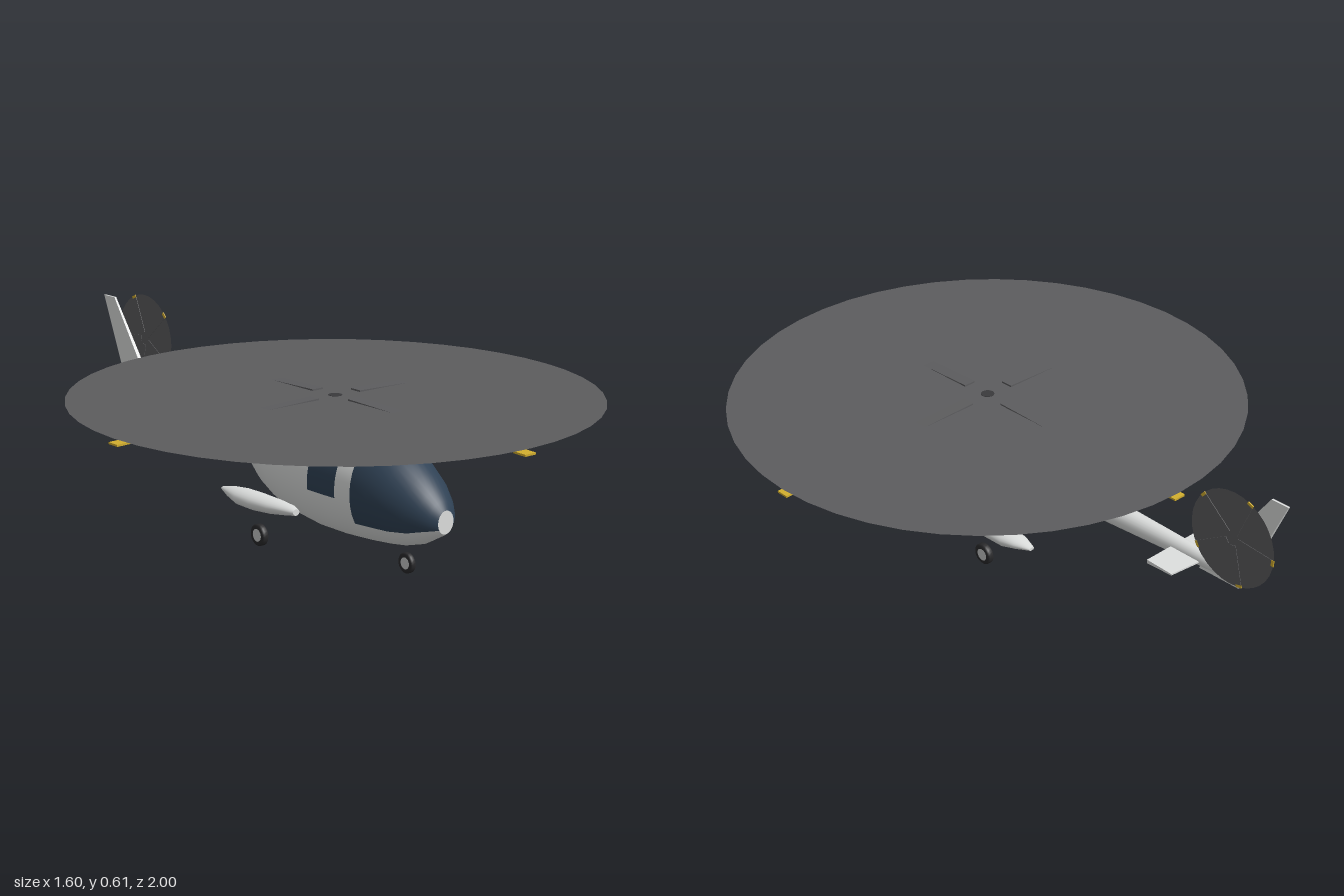
import * as THREE from 'three';

const mat = (name, color, side = THREE.FrontSide) => {
  const m = new THREE.MeshStandardMaterial({ color, side });
  m.name = name;
  return m;
};

// Body sections, nose to tail: [z, centre y, half width, half height]
const BODY = [
  [0.68, 0.19, 0.03, 0.035], [0.665, 0.197, 0.05, 0.052], [0.64, 0.204, 0.07, 0.073],
  [0.6, 0.211, 0.093, 0.103], [0.54, 0.222, 0.114, 0.132], [0.48, 0.233, 0.127, 0.152],
  [0.42, 0.238, 0.135, 0.163], [0.32, 0.237, 0.14, 0.168], [0.2, 0.237, 0.14, 0.168],
  [0.1, 0.243, 0.138, 0.162], [0.02, 0.25, 0.13, 0.15], [-0.05, 0.262, 0.114, 0.132],
  [-0.1, 0.274, 0.095, 0.113], [-0.14, 0.28, 0.072, 0.088], [-0.152, 0.283, 0.055, 0.068],
];

// Skin elliptical sections; isSecond(section, angle) picks faces for the second material
function loft(sections, n = 24, isSecond = () => false) {
  const pos = [], groups = [[], []];
  const ring = ([z, cy, rx, ry]) => {
    for (let j = 0; j < n; j++) {
      const a = (j / n) * Math.PI * 2;
      pos.push(rx * Math.cos(a), cy + ry * Math.sin(a), z);
    }
  };
  sections.forEach(ring);
  for (let i = 0; i < sections.length - 1; i++) {
    for (let j = 0; j < n; j++) {
      const k = (j + 1) % n, a = i * n + j, b = i * n + k, c = a + n, d = b + n;
      groups[isSecond(i, ((j + 0.5) / n) * 360) ? 1 : 0].push(a, c, b, b, c, d);
    }
  }
  // End caps with their own vertices, so the rims stay sharp
  [sections[0], sections[sections.length - 1]].forEach((s, end) => {
    const base = pos.length / 3;
    ring(s);
    for (let j = 1; j < n - 1; j++) {
      groups[0].push(base, ...(end ? [base + j + 1, base + j] : [base + j, base + j + 1]));
    }
  });
  const g = new THREE.BufferGeometry();
  g.setAttribute('position', new THREE.Float32BufferAttribute(pos, 3));
  g.setIndex([...groups[0], ...groups[1]]);
  g.addGroup(0, groups[0].length, 0);
  if (groups[1].length) g.addGroup(groups[0].length, groups[1].length, 1);
  g.computeVertexNormals();
  return g;
}

// Move every vertex of a geometry by a rule
function reshape(g, rule) {
  const p = g.attributes.position;
  for (let i = 0; i < p.count; i++) p.setXYZ(i, ...rule(p.getX(i), p.getY(i), p.getZ(i)));
  g.computeVertexNormals();
  return g;
}

// Half width of the body at a given height and station
function bodyX(y, z) {
  const i = BODY.findIndex((s, k) => k > 0 && s[0] <= z);
  const a = BODY[i - 1], b = BODY[i], t = (a[0] - z) / (a[0] - b[0]);
  const [, cy, rx, ry] = a.map((v, k) => THREE.MathUtils.lerp(v, b[k], t));
  return rx * Math.sqrt(1 - ((y - cy) / ry) ** 2);
}

export function createModel() {
  const model = new THREE.Group();
  model.name = 'helicopter';
  const paint = mat('light grey paint', 0xdcdedd);
  const glass = mat('dark blue glass', 0x2f4154, THREE.DoubleSide);
  const rotorGrey = mat('rotor grey', 0x5c5c5e, THREE.DoubleSide);
  const hubDark = mat('dark metal', 0x3a3a3c);
  const yellow = mat('yellow tips', 0xd2ae2e);
  const rubber = mat('tyre black', 0x29292b);
  const rim = mat('wheel grey', 0xc4c6c6);

  const add = (name, geo, material, parent = model, x = 0, y = 0, z = 0) => {
    const m = new THREE.Mesh(geo, material);
    m.name = name;
    m.position.set(x, y, z);
    parent.add(m);
    return m;
  };

  // Fuselage with wraparound windscreen
  const glazed = (i, deg) => i < 6 && (deg < 180 || deg < 213.8 || deg > 326.2);
  add('fuselage', loft(BODY, 32, glazed), [paint, glass]);

  // Engine cowling on the roof
  add('engineCowling', loft([
    [0.36, 0.385, 0.02, 0.012], [0.28, 0.385, 0.058, 0.028], [0.2, 0.384, 0.074, 0.038],
    [0.1, 0.383, 0.083, 0.046], [0, 0.383, 0.085, 0.048], [-0.08, 0.384, 0.08, 0.044],
    [-0.14, 0.384, 0.066, 0.032], [-0.172, 0.382, 0.05, 0.022], [-0.18, 0.382, 0.042, 0.017],
  ]), paint);

  // Tail boom
  add('tailBoom', loft([
    [-0.12, 0.288, 0.044, 0.043], [-0.35, 0.291, 0.036, 0.036],
    [-0.6, 0.295, 0.026, 0.028], [-0.87, 0.298, 0.017, 0.018],
  ]), paint);

  // Swept fin, thinner towards the top
  const { lerp } = THREE.MathUtils;
  add('tailFin', reshape(new THREE.BoxGeometry(1, 1, 1), (x, y, z) => {
    const t = y + 0.5, s = z + 0.5;
    return [x * lerp(0.018, 0.007, t), lerp(0.265, 0.6, t),
      lerp(lerp(-0.84, -0.69, s), lerp(-0.99, -0.93, s), t)];
  }), paint);

  // Horizontal stabiliser, trailing edge tapering to the tips
  add('stabiliser', reshape(new THREE.BoxGeometry(0.25, 1, 1, 2), (x, y, z) => [
    x, 0.294 + y * (z > 0 ? 0.012 : 0.005),
    z > 0 ? -0.595 : -0.703 + Math.abs(x) * 0.11,
  ]), paint);

  // Side windows, sponsons and main wheels
  const sponson = loft([
    [0.2, 0.137, 0.012, 0.01], [0.17, 0.137, 0.024, 0.016], [0.1, 0.133, 0.036, 0.023],
    [0.02, 0.13, 0.041, 0.027], [-0.05, 0.13, 0.04, 0.026], [-0.1, 0.134, 0.029, 0.017],
    [-0.15, 0.136, 0.01, 0.005],
  ]);
  const addWheel = (name, r, w, x, z) => {
    const g = new THREE.Group();
    g.name = name;
    g.position.set(x, r, z);
    g.rotation.z = Math.PI / 2;
    const profile = [[0.58, -1], [0.85, -1], [1, -0.6], [1, 0.6], [0.85, 1], [0.58, 1]]
      .map(([a, b]) => new THREE.Vector2(a * r, b * w / 2));
    add('tyre', new THREE.LatheGeometry(profile, 24), rubber, g);
    add('wheelHub', new THREE.CylinderGeometry(r * 0.59, r * 0.59, w * 0.94, 20), rim, g);
    model.add(g);
  };
  for (const side of [1, -1]) {
    const label = side > 0 ? 'left' : 'right';
    add(label + 'Window', reshape(new THREE.PlaneGeometry(0.12, 0.125, 4, 8), (u, v) => {
      const y = 0.278 + v, z = 0.3 - u * side;
      return [side * (bodyX(y, z) + 0.003), y, z];
    }), glass);
    add(label + 'Sponson', sponson, paint, model, side * 0.15);
    addWheel(label + 'Wheel', 0.034, 0.022, side * 0.165, 0.045);
  }
  addWheel('noseWheel', 0.031, 0.018, 0, 0.522);

  // Ring of blades with yellow tips, spinning about the group's y axis
  const addBlades = (parent, count, root, tip, chord, thick, tipLength, droop, lift, start) => {
    for (let i = 0; i < count; i++) {
      const pivot = new THREE.Group();
      pivot.name = 'bladeArm';
      pivot.rotation.y = start + (i / count) * Math.PI * 2;
      const blade = new THREE.Group();
      blade.name = 'blade';
      blade.position.set(root, lift, 0);
      blade.rotation.z = -droop;
      const len = tip - root, main = len - tipLength;
      add('bladeSpan', new THREE.BoxGeometry(main, thick, chord), rotorGrey, blade, main / 2);
      add('bladeTip', new THREE.BoxGeometry(tipLength, thick, chord), yellow, blade, len - tipLength / 2);
      pivot.add(blade);
      parent.add(pivot);
    }
  };

  // Main rotor: blur disc, drooping blades, hub and mast
  const mainRotor = new THREE.Group();
  mainRotor.name = 'mainRotor';
  mainRotor.position.set(0, 0.472, 0.2);
  add('mainRotorDisc', new THREE.CircleGeometry(0.798, 48).rotateX(-Math.PI / 2), rotorGrey, mainRotor);
  addBlades(mainRotor, 4, 0.08, 0.8, 0.04, 0.006, 0.045, 0.026, 0.002, 0);
  add('mainHub', new THREE.CylinderGeometry(0.021, 0.021, 0.024, 16), hubDark, mainRotor, 0, -0.011);
  add('mast', new THREE.CylinderGeometry(0.009, 0.009, 0.06, 12), hubDark, mainRotor, 0, -0.05);
  model.add(mainRotor);

  // Tail rotor on the left of the fin
  const tailRotor = new THREE.Group();
  tailRotor.name = 'tailRotor';
  tailRotor.position.set(0.062, 0.463, -0.85);
  tailRotor.rotation.z = -Math.PI / 2;
  add('tailRotorDisc', new THREE.CircleGeometry(0.149, 32).rotateX(-Math.PI / 2), rotorGrey, tailRotor);
  addBlades(tailRotor, 5, 0.02, 0.15, 0.02, 0.003, 0.009, 0, 0, 0.23);
  model.add(tailRotor);

  return model;
}
